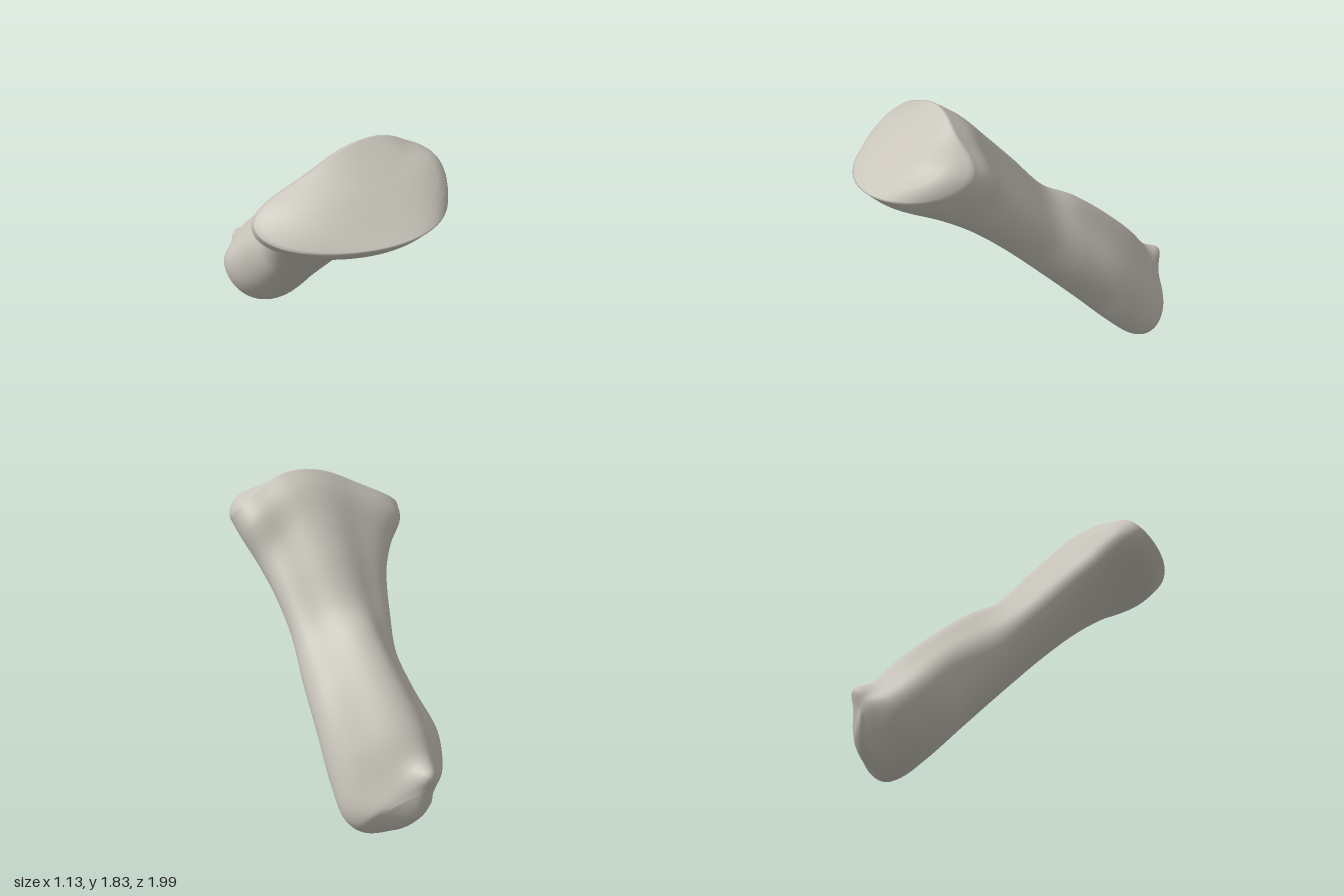
import * as THREE from 'three';

// Four rails (front, left +x, back, right -x) from the flared head to the lower tip
const V = (x, y, z) => new THREE.Vector3(x, y, z);
const rail = (pts) => new THREE.CatmullRomCurve3(pts.map((p) => V(...p)));
const front = rail([
  [0.1, 1.46, 1.0], [0.1, 1.36, 0.9], [0.1, 1.25, 0.69], [0.1, 1.08, 0.45], [0.12, 0.86, 0.2], [0.15, 0.6, -0.06],
  [0.17, 0.35, -0.3], [0.18, 0.14, -0.5], [0.19, 0.03, -0.63], [0.2, 0.0, -0.72], [0.2, 0.06, -0.84],
]);
const left = rail([
  [0.565, 1.59, 0.57], [0.545, 1.5, 0.46], [0.49, 1.34, 0.35], [0.465, 1.2, 0.2], [0.455, 1.0, 0], [0.485, 0.8, -0.2],
  [0.51, 0.6, -0.42], [0.52, 0.38, -0.6], [0.5, 0.2, -0.74], [0.44, 0.16, -0.82], [0.35, 0.2, -0.88],
]);
const back = rail([
  [0.1, 1.825, 0.51], [0.12, 1.74, 0.39], [0.12, 1.6, 0.26], [0.12, 1.42, 0.1], [0.13, 1.17, -0.12], [0.14, 1.06, -0.31],
  [0.14, 0.87, -0.54], [0.13, 0.65, -0.76], [0.12, 0.49, -0.88], [0.12, 0.42, -0.94], [0.14, 0.34, -0.96],
]);
const right = rail([
  [-0.57, 1.49, 0.55], [-0.54, 1.42, 0.46], [-0.4, 1.3, 0.34], [-0.29, 1.17, 0.2], [-0.2, 0.96, 0], [-0.13, 0.76, -0.2],
  [-0.12, 0.6, -0.42], [-0.16, 0.42, -0.61], [-0.08, 0.28, -0.78], [0.02, 0.26, -0.87], [0.07, 0.26, -0.92],
]);

// Point on the bent oval through the four rails; s < 1 fills the end caps
function sectionPoint(t, angle, s) {
  const f = front.getPoint(t), b = back.getPoint(t), l = left.getPoint(t), r = right.getPoint(t);
  const midFB = f.clone().add(b).multiplyScalar(0.5);
  const midLR = l.clone().add(r).multiplyScalar(0.5);
  const bend = midFB.clone().sub(midLR).multiplyScalar(0.5);
  // Flatten the two back flanks so that a soft ridge runs down the back
  const flank = 1 - 0.16 * Math.sin(2 * angle) ** 2 * Math.max(0, -Math.cos(angle));
  return midFB
    .addScaledVector(f.sub(b), 0.5 * s * flank * Math.cos(angle))
    .addScaledVector(l.sub(r), 0.5 * s * flank * Math.sin(angle))
    .addScaledVector(bend, s ** 4 * (Math.cos(2 * angle) - 1));
}

function boneGeometry() {
  const around = 72, along = 90;
  const rings = [];
  for (const s of [0, 0.2, 0.4, 0.6, 0.75, 0.85, 0.92, 0.97]) rings.push([0, s]);
  for (let i = 0; i <= along; i++) rings.push([i / along, 1]);
  for (const s of [0.95, 0.88, 0.75, 0.5, 0.25, 0]) rings.push([1, s]);

  const positions = [], indices = [];
  const spur = V(0.12, 0.43, -0.945);
  rings.forEach(([t, s], j) => {
    for (let i = 0; i < around; i++) {
      const p = sectionPoint(t, (i / around) * Math.PI * 2, s);
      // Domed lower end
      if (t === 1) p.addScaledVector(V(0, -0.4, -0.92), 0.045 * (1 - s * s));
      // Small raised spur at the lower back
      const w = Math.exp(-p.distanceToSquared(spur) / 0.006);
      p.y += 0.025 * w;
      p.z -= 0.05 * w;
      positions.push(p.x, p.y, p.z);
      if (j === rings.length - 1) continue;
      const k = (i + 1) % around;
      const a = j * around + i, b = j * around + k, c = a + around, d = b + around;
      if (j < rings.length - 2) indices.push(a, c, d);
      else indices.push(a, c, b);
      if (j > 0 && j < rings.length - 2) indices.push(a, d, b);
    }
  });
  const geometry = new THREE.BufferGeometry();
  geometry.setAttribute('position', new THREE.Float32BufferAttribute(positions, 3));
  geometry.setIndex(indices);
  geometry.computeVertexNormals();
  return geometry;
}

export function createModel() {
  const group = new THREE.Group();
  group.name = 'bone';
  const material = new THREE.MeshStandardMaterial({ color: 0xc8c4ba });
  material.name = 'pale bone';
  const bone = new THREE.Mesh(boneGeometry(), material);
  bone.name = 'boneShaft';
  group.add(bone);
  return group;
}
